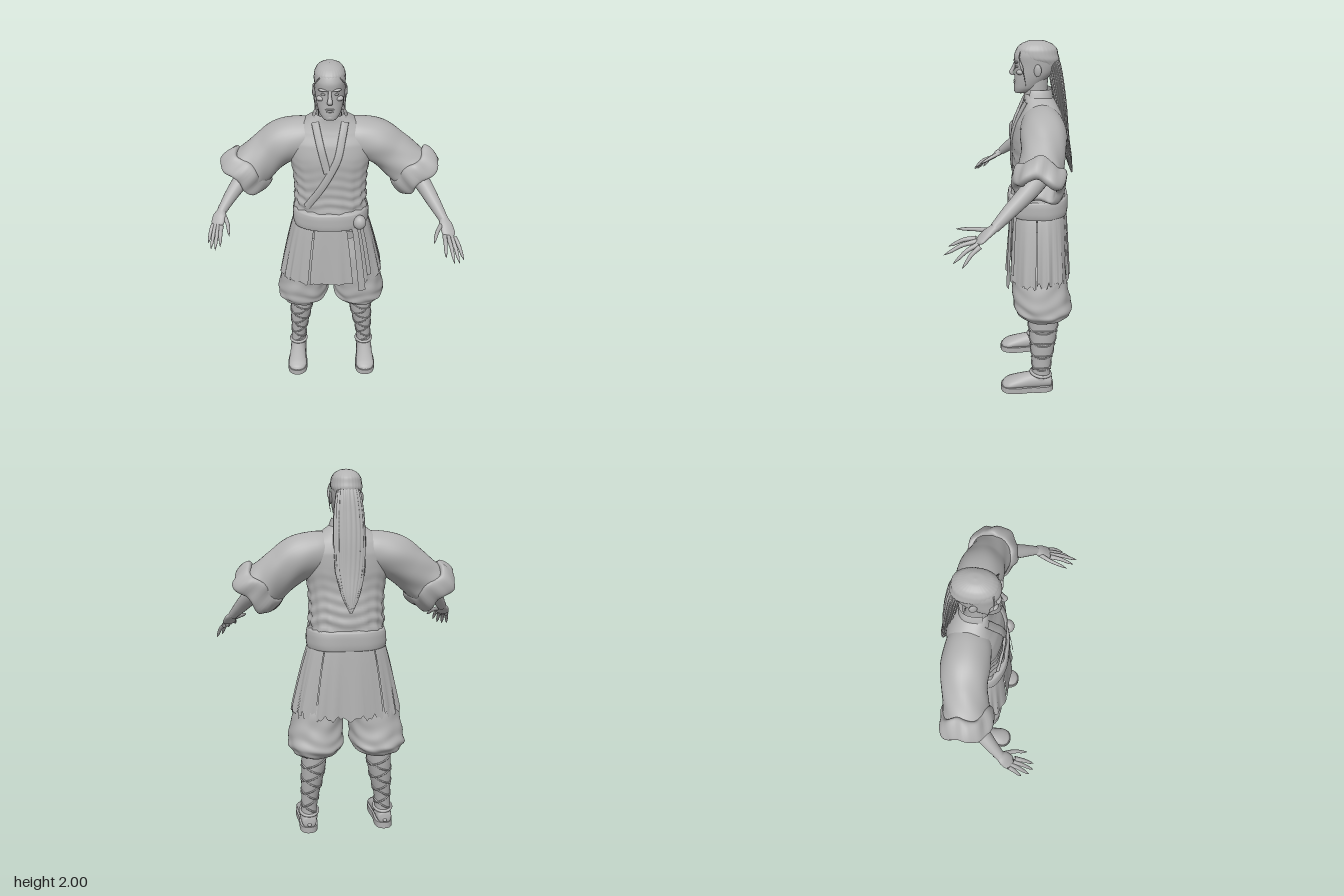
import * as THREE from 'three';

const CX = -0.037; // body midline
const V = (x, y, z) => new THREE.Vector3(x, y, z);
const { sin, cos, PI, abs, sign, max } = Math;
const pw = (c, p) => sign(c) * abs(c) ** (2 / p);

export function createModel() {
  const root = new THREE.Group();
  root.name = 'robedFighter';
  const clay = new THREE.MeshStandardMaterial({ color: 0xb2b2b2, side: THREE.DoubleSide });
  clay.name = 'stoneGrey';

  function add(name, geo, parent = root) {
    const m = new THREE.Mesh(geo, clay);
    m.name = name;
    parent.add(m);
    return m;
  }

  // Surface from f(u, v); wrap closes it around u
  function grid(nu, nv, wrap, f) {
    const pos = [], idx = [], cols = wrap ? nu : nu + 1;
    for (let j = 0; j <= nv; j++) for (let i = 0; i < cols; i++) pos.push(...f(i / nu, j / nv));
    for (let j = 0; j < nv; j++) for (let i = 0; i < nu; i++) {
      const a = j * cols + i, b = j * cols + ((i + 1) % cols);
      idx.push(a, b, a + cols, b, b + cols, a + cols);
    }
    const g = new THREE.BufferGeometry();
    g.setAttribute('position', new THREE.Float32BufferAttribute(pos, 3));
    g.setIndex(idx);
    g.computeVertexNormals();
    return g;
  }

  // Loft through stations [x, y, z, radiusA, radiusB]
  function loft(name, st, { seg = 24, rows = 24, p = 2, ref = V(0, 0, 1), axis = null, bump = () => 1 } = {}) {
    const path = new THREE.CatmullRomCurve3(st.map(s => V(s[0], s[1], s[2])));
    const rad = new THREE.CatmullRomCurve3(st.map(s => V(s[3], s[4] ?? s[3], 0)));
    return add(name, grid(seg, rows, true, (u, t) => {
      const c = path.getPoint(t), r = rad.getPoint(t), T = axis ?? path.getTangent(t);
      const B = ref.clone().addScaledVector(T, -ref.dot(T)).normalize().negate();
      const A = B.clone().cross(T), th = u * 2 * PI, k = bump(th, t);
      return c.addScaledVector(A, pw(cos(th), p) * max(r.x, 0.001) * k)
        .addScaledVector(B, pw(sin(th), p) * max(r.y, 0.001) * k).toArray();
    }));
  }
  const UP = V(0, 1, 0);
  // Vertical stack from [y, z, rx, rz] around the midline
  const stack = (name, st, o = {}) => loft(name, st.map(s => [CX + (o.dx ?? 0), ...s]), { axis: UP, ...o });

  function ball(name, x, y, z, sx, sy, sz) {
    const m = add(name, new THREE.SphereGeometry(1, 16, 12));
    m.position.set(x, y, z);
    m.scale.set(sx, sy, sz);
    return m;
  }

  // Hanging cloth between two angles (degrees), front is 90
  function panel(name, a0, a1, y0, y1, r0, r1, zc, fold = 0, out = 0, jag = 0) {
    return add(name, grid(Math.ceil((a1 - a0) / 2.5) + 3, 18, false, (u, v) => {
      const th = (a0 + (a1 - a0) * u) * PI / 180;
      const k = 1 + fold * v * sin(th * 17 + 2 * sin(th * 5)), e = v ** 0.8;
      const rx = (r0[0] + (r1[0] - r0[0]) * e) * k + out, rz = (r0[1] + (r1[1] - r0[1]) * e) * k + out;
      const low = y1 + jag * sin(u * 19 + a0) * sin(u * 47);
      return [CX + pw(cos(th), 2.5) * rx, y0 + (low - y0) * v, zc + pw(sin(th), 2.5) * rz];
    }));
  }

  // Torso with bunched cloth above the belt
  const torso = [[1.06, -0.15, 0.2, 0.15], [1.2, -0.15, 0.203, 0.148], [1.3, -0.148, 0.2, 0.142],
    [1.4, -0.143, 0.206, 0.138], [1.5, -0.145, 0.225, 0.14], [1.58, -0.152, 0.235, 0.13],
    [1.64, -0.157, 0.2, 0.108], [1.69, -0.15, 0.13, 0.085], [1.73, -0.135, 0.072, 0.066]];
  stack('tunic', torso, { seg: 72, rows: 70, p: 2.5, bump: (th, t) => {
    const w = max(0, 1 - t * 1.9);
    return 1 + 0.025 * w * sin(th * 17 + 4 * t) + 0.035 * w * sin(t * 85 + 1.5 * sin(th * 5));
  } });
  const chestZ = (d, y) => {
    const i = max(1, torso.findIndex(s => s[0] >= y)), a = torso[i - 1], b = torso[i];
    const [, z, rx, rz] = a.map((q, k) => q + (b[k] - q) * (y - a[0]) / (b[0] - a[0]));
    return z + rz * max(0, 1 - abs(d / rx) ** 2.5) ** 0.4;
  };
  // Crossing lapels and standing collar
  const lapel = (name, pts) => loft(name, pts.map(([d, y]) => [CX + d, y, chestZ(d, y) + 0.003, 0.02, 0.009]),
    { seg: 12, rows: 30, p: 3 });
  lapel('rightLapel', [[-0.078, 1.7], [-0.062, 1.63], [-0.045, 1.56], [-0.015, 1.44]]);
  lapel('leftLapel', [[0.078, 1.7], [0.062, 1.62], [0.04, 1.52], [0, 1.43], [-0.05, 1.34], [-0.13, 1.22]]);
  panel('collar', 150, 390, 1.755, 1.67, [0.075, 0.075], [0.105, 0.085], -0.14);

  // Belt, knot and hanging ties
  stack('belt', [[1.07, -0.148, 0.19, 0.14], [1.078, -0.148, 0.212, 0.165], [1.11, -0.148, 0.217, 0.169],
    [1.15, -0.148, 0.215, 0.168], [1.175, -0.148, 0.209, 0.163], [1.186, -0.148, 0.19, 0.14]],
  { seg: 60, p: 2.6, bump: (th, t) => 1 + 0.008 * sin(th * 7 + t * 3) });
  ball('beltKnot', 0.125, 1.125, -0.005, 0.037, 0.043, 0.035);
  panel('longTie', 53, 63, 1.09, 0.66, [0.21, 0.16], [0.295, 0.185], -0.15, 0, 0.014);
  panel('shortTie', 41, 49, 1.09, 0.76, [0.21, 0.16], [0.285, 0.183], -0.15, 0, 0.014);

  // Split, ragged skirt
  for (const [name, a, b, low, jag] of [['frontPanel', 70, 109, 0.71, 0.004], ['frontRightPanel', 111, 178, 0.71, 0.012],
    ['frontLeftPanel', 4, 58, 0.71, 0.012], ['backRightPanel', 179, 236, 0.72, 0.03],
    ['backPanel', 237, 303, 0.71, 0.02], ['backLeftPanel', 304, 363, 0.72, 0.03]])
    panel(name, a, b, 1.1, low, [0.205, 0.155], [0.3, 0.184], -0.152, 0.025, 0, jag);

  // Neck and head
  stack('neck', [[1.62, -0.14, 0.065, 0.065], [1.7, -0.13, 0.062, 0.062], [1.82, -0.13, 0.06, 0.065]]);
  stack('head', [[1.727, -0.05, 0.004, 0.004], [1.733, -0.053, 0.033, 0.033], [1.76, -0.078, 0.056, 0.063],
    [1.8, -0.1, 0.068, 0.083], [1.84, -0.12, 0.075, 0.102], [1.88, -0.13, 0.078, 0.112], [1.92, -0.13, 0.08, 0.115],
    [1.955, -0.13, 0.075, 0.104], [1.98, -0.13, 0.059, 0.08], [1.996, -0.13, 0.03, 0.04], [2, -0.13, 0.002, 0.002]],
  { seg: 40, rows: 48, p: 2.2 });
  loft('nose', [[CX, 1.895, -0.024, 0.008], [CX, 1.865, -0.012, 0.009], [CX, 1.837, -0.001, 0.014, 0.012],
    [CX, 1.824, -0.01, 0.012, 0.008], [CX, 1.822, -0.02, 0.002]], { axis: UP, seg: 14 });
  ball('upperLip', CX, 1.794, -0.019, 0.024, 0.005, 0.008);
  ball('lowerLip', CX, 1.783, -0.021, 0.02, 0.006, 0.008);
  ball('chin', CX, 1.748, -0.032, 0.026, 0.018, 0.018);
  for (const s of [-1, 1]) {
    ball('brow', CX + s * 0.034, 1.894, -0.025, 0.027, 0.007, 0.012).rotation.z = s * 0.15;
    ball('eye', CX + s * 0.032, 1.872, -0.03, 0.014, 0.006, 0.01);
    ball('cheekbone', CX + s * 0.047, 1.845, -0.045, 0.022, 0.014, 0.02);
    const ear = ball('ear', CX + s * 0.08, 1.857, -0.135, 0.009, 0.032, 0.02);
    ear.rotation.y = -s * 0.3;
    loft('looseStrand', [[CX + s * 0.05, 1.95, -0.045, 0.003], [CX + s * 0.076, 1.92, -0.04, 0.003],
      [CX + s * 0.08, 1.85, -0.06, 0.003], [CX + s * 0.074, 1.78, -0.075, 0.001]], { seg: 6 });
  }

  // Combed scalp and long tail
  stack('scalpHair', [[1.885, -0.178, 0.068, 0.07], [1.92, -0.14, 0.082, 0.108], [1.956, -0.133, 0.077, 0.106],
    [1.982, -0.132, 0.06, 0.081], [1.998, -0.131, 0.03, 0.04], [2.002, -0.13, 0.001, 0.001]],
  { seg: 90, p: 2.2, bump: th => 1 + 0.008 * sin(th * 30) });
  loft('hairTail', [[CX, 1.95, -0.19, 0.03, 0.03], [CX, 1.88, -0.222, 0.062, 0.034], [CX, 1.78, -0.244, 0.076, 0.034],
    [CX, 1.65, -0.268, 0.08, 0.03], [CX, 1.5, -0.29, 0.074, 0.024], [CX, 1.37, -0.318, 0.045, 0.016],
    [CX, 1.285, -0.337, 0.006, 0.004]],
  { seg: 80, rows: 40, bump: (th, t) => 1 + 0.06 * sin(th * 19 + 3 * sin(t * 4)) });

  for (const s of [-1, 1]) {
    const X = d => CX + s * d;
    // Sleeve and rolled cuff
    loft('sleeve', [[X(0.05), 1.585, -0.155, 0.095, 0.09], [X(0.15), 1.58, -0.158, 0.112, 0.113],
      [X(0.25), 1.555, -0.16, 0.118, 0.12], [X(0.33), 1.5, -0.155, 0.114, 0.113], [X(0.4), 1.44, -0.14, 0.118, 0.112],
      [X(0.45), 1.395, -0.13, 0.124, 0.118]],
    { seg: 40, rows: 36, bump: (th, t) => 1 + 0.02 * t * sin(th * 6 + t * 14) });
    const prof = [[0.1, 0.03], [0.095, -0.05], [0.112, -0.064], [0.135, -0.055], [0.143, -0.02], [0.14, 0.025], [0.128, 0.052], [0.108, 0.05], [0.1, 0.03]];
    const cg = new THREE.LatheGeometry(new THREE.SplineCurve(prof.map(q => new THREE.Vector2(...q))).getPoints(32), 56);
    const cp = cg.attributes.position;
    for (let i = 0; i < cp.count; i++) {
      const x = cp.getX(i), y = cp.getY(i), z = cp.getZ(i), a = Math.atan2(z, x);
      const k = 1 + 0.045 * sin(a * 5 + y * 20) + 0.02 * sin(a * 11);
      cp.setXYZ(i, x * k, y + 0.014 * sin(a * 4 + 1), z * k * 0.93);
    }
    cg.computeVertexNormals();
    const cuff = add('rolledCuff', cg);
    cuff.position.set(X(0.462), 1.395, -0.13);
    cuff.quaternion.setFromUnitVectors(UP, V(-s * 0.7, 0.68, -0.18).normalize());

    // Baggy trouser leg gathered below the knee
    loft('trouserLeg', [[X(0.09), 1.0, -0.15, 0.09, 0.12], [X(0.105), 0.88, -0.15, 0.125, 0.145],
      [X(0.135), 0.77, -0.153, 0.137, 0.152], [X(0.158), 0.68, -0.158, 0.14, 0.157], [X(0.168), 0.6, -0.166, 0.15, 0.163],
      [X(0.172), 0.54, -0.178, 0.153, 0.166], [X(0.174), 0.495, -0.182, 0.128, 0.142], [X(0.178), 0.465, -0.18, 0.08, 0.09],
      [X(0.178), 0.48, -0.18, 0.06, 0.07]],
    { axis: V(0, -1, 0), seg: 60, rows: 70, p: 2.2, bump: (th, t) =>
      1 + t * (0.03 * sin(th * 7 + 3 * sin(t * 9)) + 0.03 * sin(t * 42 + 2 * sin(th * 3 + s))) });

    // Wrapped shin
    const shin = [[X(0.18), 0.5, -0.18, 0.07, 0.088], [X(0.186), 0.4, -0.18, 0.068, 0.084], [X(0.197), 0.3, -0.178, 0.06, 0.072],
      [X(0.208), 0.2, -0.174, 0.048, 0.058], [X(0.213), 0.13, -0.172, 0.045, 0.053], [X(0.214), 0.07, -0.17, 0.05, 0.06]];
    loft('shin', shin, { axis: V(0, -1, 0), seg: 28 });
    for (let i = 0; i < 8; i++) {
      const y = 0.42 - i * 0.041, tilt = (i % 2 ? 1 : -1) * 0.03, pts = [];
      for (let k = 0; k < 16; k++) {
        const a = k / 16 * 2 * PI, h = y + tilt * cos(a), f = (0.5 - h) * 10;
        const j = Math.min(4, max(0, Math.floor(f))), q = shin[j].map((w, n) => w + (shin[j + 1][n] - w) * Math.min(1, f - j));
        pts.push(V(q[0] + cos(a) * q[3], h, q[2] + sin(a) * q[4]));
      }
      add('legBinding', new THREE.TubeGeometry(new THREE.CatmullRomCurve3(pts, true), 40, 0.005, 6, true));
    }

    // Shoe: flat sole, upper and ankle band
    const sh = new THREE.Shape();
    sh.moveTo(0, -0.245);
    sh.bezierCurveTo(0.06, -0.245, 0.052, -0.17, 0.05, -0.12);
    sh.bezierCurveTo(0.056, -0.06, 0.092, 0.062, 0, 0.066);
    sh.bezierCurveTo(-0.092, 0.062, -0.056, -0.06, -0.05, -0.12);
    sh.bezierCurveTo(-0.052, -0.17, -0.06, -0.245, 0, -0.245);
    const sole = add('sole', new THREE.ExtrudeGeometry(sh, { depth: 0.036, bevelEnabled: false, curveSegments: 14 }));
    sole.rotation.x = PI / 2;
    sole.position.set(X(0.217), 0.036, 0);
    const fx = X(0.217);
    loft('shoeUpper', [[fx, 0.05, -0.24, 0.01, 0.01], [fx, 0.06, -0.232, 0.038, 0.035], [fx, 0.066, -0.18, 0.047, 0.048],
      [fx, 0.063, -0.12, 0.048, 0.05], [fx, 0.056, -0.05, 0.053, 0.041], [fx, 0.046, 0.015, 0.057, 0.028],
      [fx, 0.038, 0.048, 0.038, 0.018], [fx, 0.034, 0.06, 0.008, 0.006]], { axis: V(0, 0, 1), ref: UP, rows: 36 });
    const band = add('ankleBand', new THREE.TorusGeometry(0.05, 0.009, 8, 28));
    band.position.set(X(0.214), 0.108, -0.17);
    band.rotation.x = PI / 2 - 0.15;
    band.scale.y = 1.14;
  }

  // Forearms and hands, posed separately: knuckle row, then finger tips
  const arms = [
    { side: 'left', arm: [[0.36, 1.44, -0.17, 0.055], [0.455, 1.355, -0.08, 0.047], [0.525, 1.27, 0.02, 0.036], [0.572, 1.208, 0.09, 0.025]],
      palm: [0.598, 1.155, 0.16], thumb: [[0.563, 1.19, 0.11], [0.53, 1.185, 0.18], [0.5, 1.175, 0.28]],
      knuckles: [[0.572, 1.155, 0.178], [0.628, 1.135, 0.16]],
      tips: [[0.565, 1.11, 0.315], [0.61, 1.085, 0.335], [0.645, 1.055, 0.29], [0.675, 1.045, 0.245]] },
    { side: 'right', arm: [[-0.42, 1.46, -0.17, 0.055], [-0.515, 1.365, -0.085, 0.046], [-0.58, 1.295, -0.01, 0.035], [-0.625, 1.238, 0.05, 0.025]],
      palm: [-0.645, 1.195, 0.1], thumb: [[-0.615, 1.225, 0.06], [-0.588, 1.2, 0.12], [-0.575, 1.165, 0.185]],
      knuckles: [[-0.622, 1.19, 0.125], [-0.668, 1.185, 0.1]],
      tips: [[-0.622, 1.125, 0.225], [-0.65, 1.105, 0.228], [-0.675, 1.1, 0.21], [-0.693, 1.11, 0.17]] },
  ];
  for (const { side, arm, palm, thumb, knuckles, tips } of arms) {
    loft(side + 'Forearm', arm, { seg: 20 });
    const [kx, ky, kz] = palm, w = arm[3];
    loft(side + 'Palm', [[w[0] - (kx - w[0]) * 0.3, w[1] + 0.015, w[2] - 0.02, 0.024, 0.022], [...w.slice(0, 3), 0.026, 0.02],
      [(w[0] + kx) / 2, (w[1] + ky) / 2 + 0.004, (w[2] + kz) / 2, 0.037, 0.018],
      [kx, ky, kz, 0.037, 0.014], [kx * 1.01, ky - 0.012, kz + 0.018, 0.012, 0.006]], { ref: UP, seg: 20 });
    const finger = (name, a, m, b) => loft(name, [[...a, 0.013], [...m, 0.0105],
      [...m.map((q, i) => q + (b[i] - q) * 0.6), 0.008], [...b, 0.001]], { seg: 10, rows: 14, ref: UP });
    finger(side + 'Thumb', ...thumb);
    tips.forEach((b, i) => {
      const a = knuckles[0].map((q, k) => q + (knuckles[1][k] - q) * i / 3);
      const m = a.map((q, k) => q + (b[k] - q) * 0.45 + (k === 1 ? 0.012 : 0));
      finger(side + 'Finger', a, m, b);
    });
  }
  return root;
}
